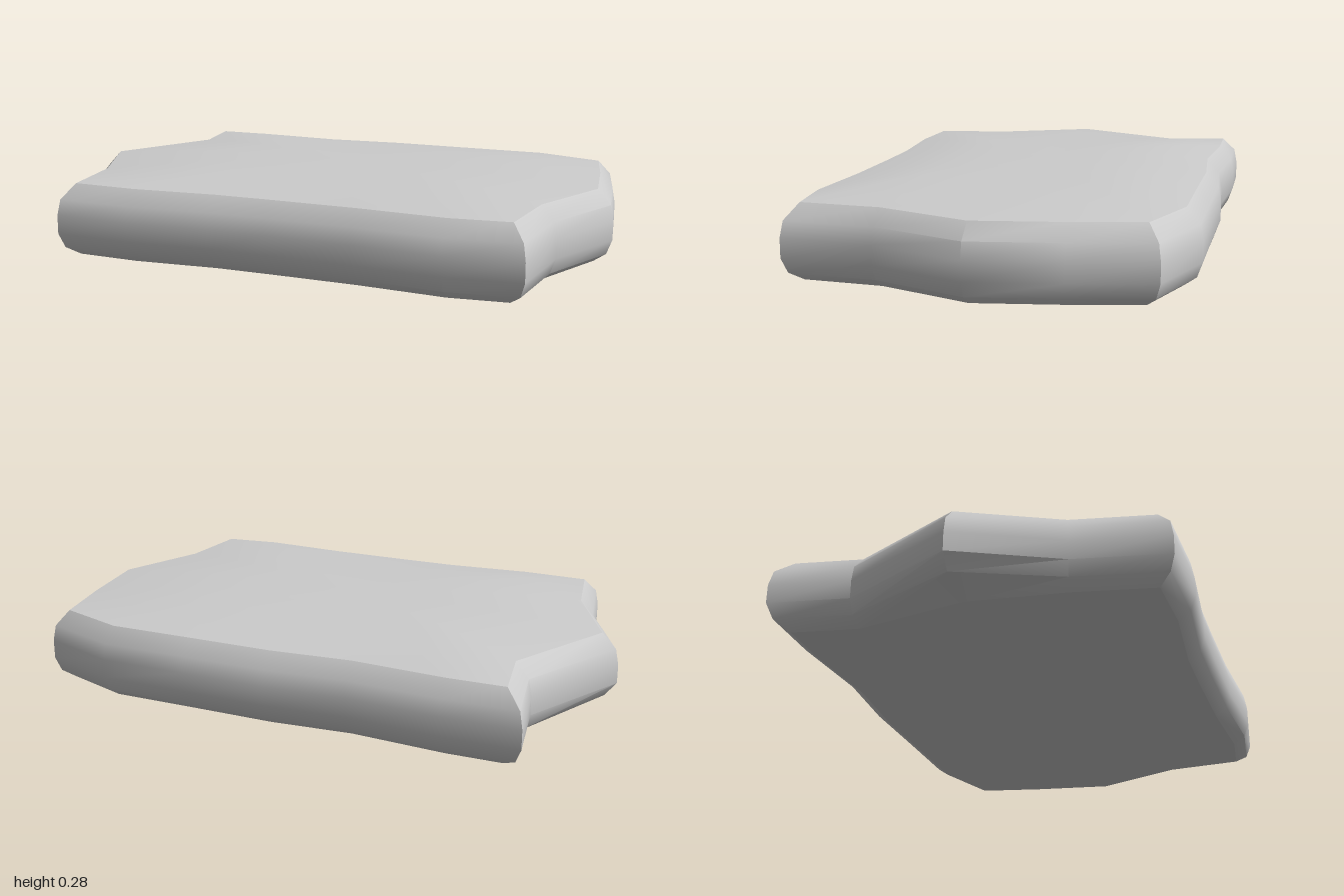
import * as THREE from 'three';
import { toCreasedNormals } from 'three/addons/utils/BufferGeometryUtils.js';

// Irregular slab outline (x, z), clockwise seen from above
const OUTLINE = [
  [-0.86, -0.66], [-0.6, -0.665], [-0.28, -0.645], [0, -0.667], [0.3, -0.665],
  [0.61, -0.665], [0.89, -0.57], [0.95, -0.3], [1, 0], [0.88, 0.32],
  [0.86, 0.63], [0.61, 0.66], [0.3, 0.64], [0, 0.635], [-0.2, 0.635],
  [-0.5, 0.66], [-0.78, 0.65], [-0.84, 0.34], [-1, 0], [-0.81, -0.39],
];
const TIP = 18; // left-hand point, chipped underneath

// Outline moved inwards by d, with limited mitres at the corners
function inset(d) {
  const n = OUTLINE.length;
  return OUTLINE.map(([x, z], i) => {
    const p = new THREE.Vector2(x, z);
    const normal = (a, b) => new THREE.Vector2(a[1] - b[1], b[0] - a[0]).normalize();
    const n1 = normal(OUTLINE[(i + n - 1) % n], OUTLINE[i]);
    const n2 = normal(OUTLINE[i], OUTLINE[(i + 1) % n]);
    const m = n1.clone().add(n2).normalize();
    p.addScaledVector(m, d / Math.max(m.dot(n1), 0.6));
    return [p.x, p.y];
  });
}

// Skin between consecutive rings of equal point count
function loft(rings) {
  const pos = [], idx = [], n = rings[0].length;
  rings.forEach((ring) => ring.forEach((p) => pos.push(...p)));
  for (let r = 0; r < rings.length - 1; r++) {
    for (let i = 0; i < n; i++) {
      const a = r * n + i, b = r * n + (i + 1) % n;
      idx.push(a, a + n, b, b, a + n, b + n);
    }
  }
  const g = new THREE.BufferGeometry();
  g.setAttribute('position', new THREE.Float32BufferAttribute(pos, 3));
  g.setIndex(idx);
  return g;
}

export function createModel() {
  const group = new THREE.Group();
  group.name = 'stoneSlab';
  const material = new THREE.MeshStandardMaterial({ color: 0xcccccc });

  // Rounded rim: [height, inset]
  const rim = [[0, 0.06], [0.03, 0.018], [0.08, 0], [0.145, 0], [0.2, 0.01], [0.252, 0.055]];
  const rings = rim.map(([y, d]) => inset(d).map(([x, z]) => [x, y, z]));
  rings[0][TIP] = [-0.82, 0, 0];
  rings[1][TIP][0] = -0.96;

  // Slightly domed top: shrinking rings closing on the centre
  const edge = rings[rings.length - 1];
  for (const [s, y] of [[0.8, 0.269], [0.53, 0.283], [0.25, 0.284], [0, 0.284]]) {
    rings.push(edge.map(([x, , z]) => [x * s, y, z * s]));
  }
  const body = new THREE.Mesh(toCreasedNormals(loft(rings), 0.62), material);
  body.name = 'slabBody';

  // Flat underside
  const foot = rings[0];
  const base = new THREE.Mesh(loft([foot.map(() => [0, 0, 0]), foot]).toNonIndexed(), material);
  base.geometry.computeVertexNormals();
  base.name = 'slabUnderside';

  group.add(body, base);
  return group;
}
